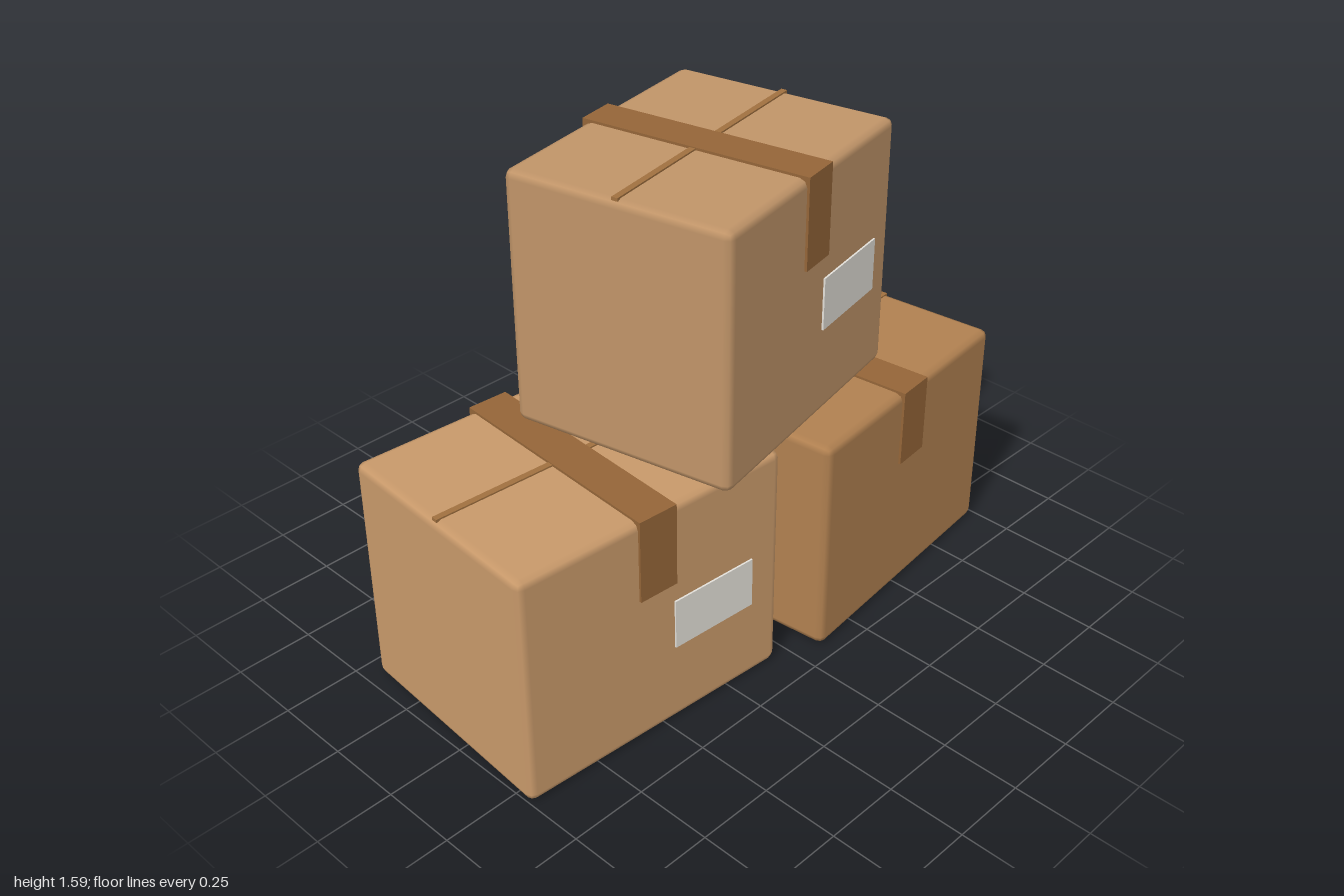
import * as THREE from 'three';
import { RoundedBoxGeometry } from 'three/addons/geometries/RoundedBoxGeometry.js';

const mat = (color) => new THREE.MeshStandardMaterial({ color });
const tapeMat = mat(0x946538);
const seamMat = mat(0xa0703f);
const labelMat = mat(0xe2dfd8);

function addBlock(parent, name, size, position, material) {
  const mesh = new THREE.Mesh(new THREE.BoxGeometry(...size), material);
  mesh.name = name;
  mesh.position.set(...position);
  parent.add(mesh);
}

// One taped carton standing on its own y = 0
function makeCarton({ name, w, h, d, color, position, turn, label }) {
  const carton = new THREE.Group();
  carton.name = name;
  carton.position.set(...position);
  carton.rotation.y = turn;

  const t = 0.008; // tape thickness
  const bodyH = h - t;
  const body = new THREE.Mesh(new RoundedBoxGeometry(w, bodyH, d, 1, 0.025), mat(color));
  body.name = 'cartonBody';
  body.position.y = bodyH / 2;
  carton.add(body);

  // Flap seam along the top
  addBlock(carton, 'flapSeam', [w * 0.98, 0.01, 0.02], [0, bodyH, 0], seamMat);

  // Tape over the top, folded down the front and back
  const tapeW = w * 0.14;
  const drop = h * 0.35;
  addBlock(carton, 'tapeTop', [tapeW, 2 * t, d + 2 * t], [0, h - t, 0], tapeMat);
  for (const side of [1, -1]) {
    addBlock(carton, side > 0 ? 'tapeFront' : 'tapeBack',
      [tapeW, drop, 2 * t], [0, h - drop / 2, side * d / 2], tapeMat);
  }

  // Shipping label on the front
  if (label) {
    addBlock(carton, 'label', [0.3, 0.168, 0.012], [w * 0.224, h * 0.457, d / 2], labelMat);
  }
  return carton;
}

export function createModel() {
  const model = new THREE.Group();
  model.name = 'cartonStack';
  model.add(
    makeCarton({ name: 'rightCarton', w: 0.95, h: 0.78, d: 0.77, color: 0xc8996a,
      position: [-0.5, 0, -0.035], turn: -0.07, label: true }),
    makeCarton({ name: 'leftCarton', w: 0.915, h: 0.742, d: 0.8, color: 0xb08050,
      position: [0.497, 0, 0.005], turn: 0.105, label: false }),
    makeCarton({ name: 'topCarton', w: 0.9, h: 0.815, d: 0.735, color: 0xc09468,
      position: [0.035, 0.778, -0.013], turn: 0.2, label: true }),
  );
  return model;
}
